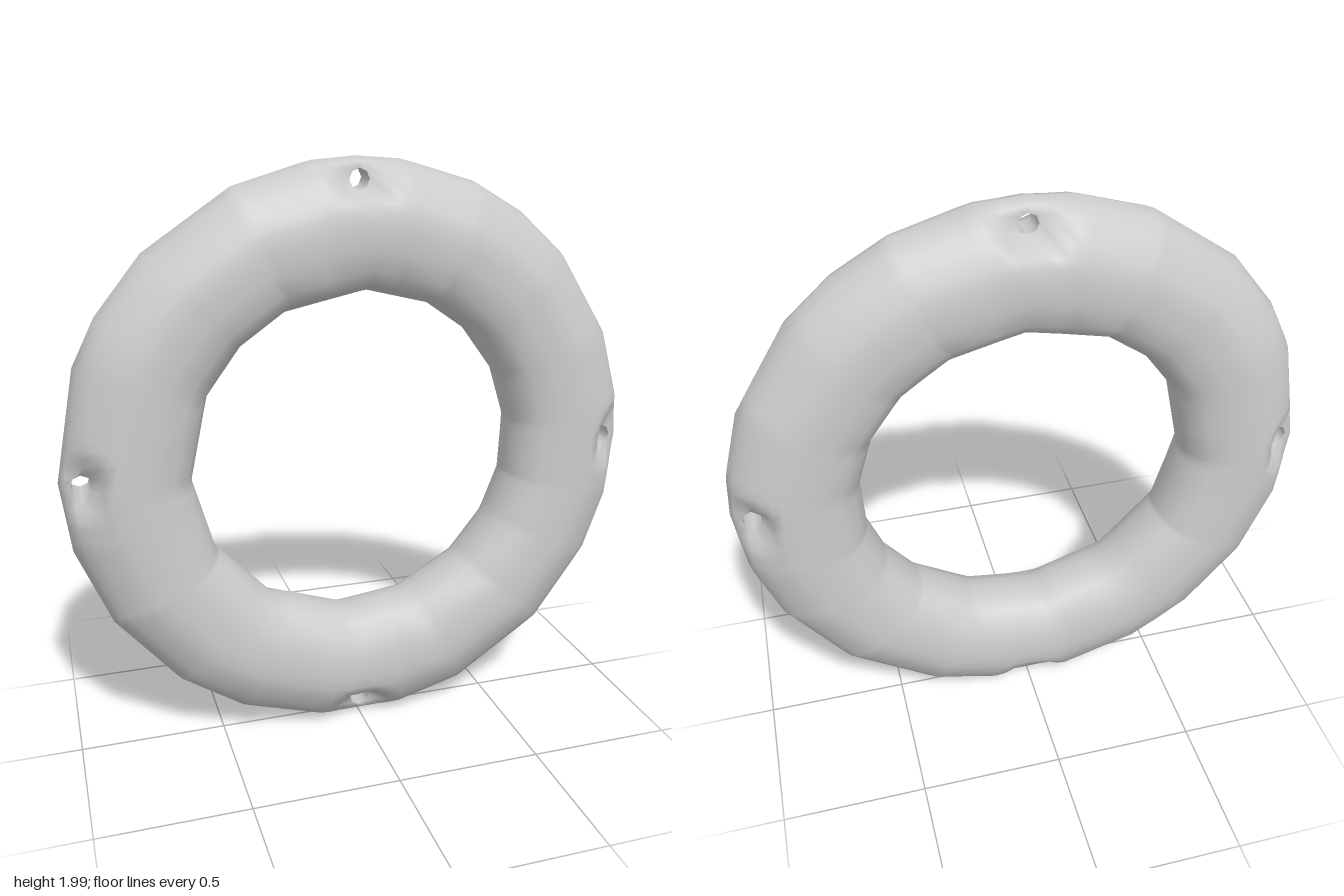
import * as THREE from 'three';

const RAD = Math.PI / 180;
const HOLE_R = 0.93, HOLE_SIZE = 0.034, WEB = 0.045;
const LUGS = [0, 90, 180, 270];

// Corner angles (degrees) of the slightly irregular inner and outer outlines
const INNER = [8, 27, 46, 64, 88, 116, 134, 153, 182, 209, 237, 266, 289, 312, 330, 347];
const OUTER = [0, 9, 23, 42, 54, 66, 81, 90, 99, 114, 134, 148, 158, 180, 194, 211, 229, 244, 262, 278, 293, 315, 334, 347];

// Front half of the tube section, inner edge to outer edge: [radius, z]
const FRONT = [[0.57, 0], [0.575, 0.05], [0.597, 0.1], [0.645, 0.143], [0.72, 0.16], [0.79, 0.163], [0.835, 0.156],
  [0.865, 0.147], [0.897, 0.131], [0.93, 0.112], [0.962, 0.085], [0.985, 0.05], [1, 0]];
const HOLE_ROW = 9;
const BACK = FRONT.slice(1, -1).reverse().map(([r, z]) => [r, -z]);
const SECTION = [...FRONT, ...BACK];

const angleGap = (a, b) => ((a - b + 540) % 360) - 180;

// Radius factor of a polygon with corners on the unit circle
function chord(corners, angle) {
  for (let i = 0; i < corners.length; i++) {
    const a = corners[i];
    const span = (corners[(i + 1) % corners.length] - a + 360) % 360;
    const d = (angle - a + 360) % 360;
    if (d <= span) return Math.cos(span / 2 * RAD) / Math.cos((d - span / 2) * RAD);
  }
  return 1;
}

// Angular stations: outline corners plus a finer set around each lug
function stations() {
  const list = [];
  for (const lug of LUGS) {
    for (const o of [-11, -8.5, -6.5, -4.4, -2.2, 0, 2.2, 4.4, 6.5, 8.5, 11]) list.push((lug + o + 360) % 360);
  }
  for (const a of [...INNER, ...OUTER]) {
    if (list.every((b) => Math.abs(angleGap(a, b)) > 1)) list.push(a);
  }
  return list.sort((a, b) => a - b);
}

function createRingGeometry() {
  const angles = stations(), n = angles.length, m = SECTION.length;
  const positions = [], index = [];
  const backHoleRow = m - HOLE_ROW;
  const holes = LUGS.map((lug) => angles.findIndex((a) => Math.abs(angleGap(a, lug)) < 0.01));
  const step = (i, k) => ((i - k + n + n / 2) % n) - n / 2;

  for (let i = 0; i < n; i++) {
    const angle = angles[i];
    const dIn = 0.575 * chord(INNER, angle) - 0.57;
    const dOut = chord(OUTER, angle) - 1;
    const lug = LUGS.reduce((p, q) => Math.abs(angleGap(angle, q)) < Math.abs(angleGap(angle, p)) ? q : p);
    const gap = angleGap(angle, lug) * RAD;
    const holeIndex = holes[LUGS.indexOf(lug)];
    for (let j = 0; j < m; j++) {
      const [r0, z0] = SECTION[j];
      const t = (r0 - 0.57) / 0.43;
      const r = r0 + (1 - t) * dIn + t * dOut;
      const side = Math.sign(z0);

      // Scooped recess down to the thin web
      const d = Math.hypot(gap / 0.135, (1 - r0) / 0.135);
      const k = THREE.MathUtils.smoothstep(d, 0.55, 1.08);
      let z = side * THREE.MathUtils.lerp(Math.min(Math.abs(z0), WEB), Math.abs(z0), k);
      let x = r * Math.cos(angle * RAD), y = r * Math.sin(angle * RAD);

      // Snap the cells round each eyelet onto its rim
      const di = step(i, holeIndex);
      const dj = j < FRONT.length ? j - HOLE_ROW : backHoleRow - j;
      if (Math.abs(di) <= 1 && Math.abs(dj) <= 1 && (di || dj)) {
        const len = Math.hypot(di, dj);
        const u = HOLE_R + HOLE_SIZE * dj / len, v = HOLE_SIZE * di / len;
        const c = Math.cos(lug * RAD), s = Math.sin(lug * RAD);
        x = u * c - v * s;
        y = u * s + v * c;
        z = side * WEB;
      }
      positions.push(x, y, z);
    }
  }

  for (let i = 0; i < n; i++) {
    for (let j = 0; j < m; j++) {
      const i2 = (i + 1) % n, j2 = (j + 1) % m;
      // Leave the four cells touching an eyelet centre open
      const isOpen = [i, i2].some((a) => holes.includes(a)) &&
        [j, j2].some((b) => b === HOLE_ROW || b === backHoleRow);
      if (isOpen) continue;
      const a = i * m + j, b = i * m + j2, c = i2 * m + j2, d = i2 * m + j;
      index.push(a, b, c, a, c, d);
    }
  }
  const geometry = new THREE.BufferGeometry();
  geometry.setAttribute('position', new THREE.Float32BufferAttribute(positions, 3));
  geometry.setIndex(index);
  geometry.computeVertexNormals();
  return geometry;
}

export function createModel() {
  const group = new THREE.Group();
  group.name = 'ringBuoy';
  const material = new THREE.MeshStandardMaterial({ color: 0xcccccc });
  const wallMaterial = new THREE.MeshStandardMaterial({ color: 0xcccccc, side: THREE.DoubleSide });

  const ring = new THREE.Mesh(createRingGeometry(), material);
  ring.name = 'ring';
  ring.position.y = 1;
  group.add(ring);

  // Walls of the rope eyelets through the web
  const wall = new THREE.CylinderGeometry(HOLE_SIZE, HOLE_SIZE, WEB * 2, 8, 1, true).rotateX(Math.PI / 2);
  for (const lug of LUGS) {
    const eyelet = new THREE.Mesh(wall, wallMaterial);
    eyelet.name = 'eyelet';
    eyelet.position.set(HOLE_R * Math.cos(lug * RAD), 1 + HOLE_R * Math.sin(lug * RAD), 0);
    group.add(eyelet);
  }
  return group;
}
